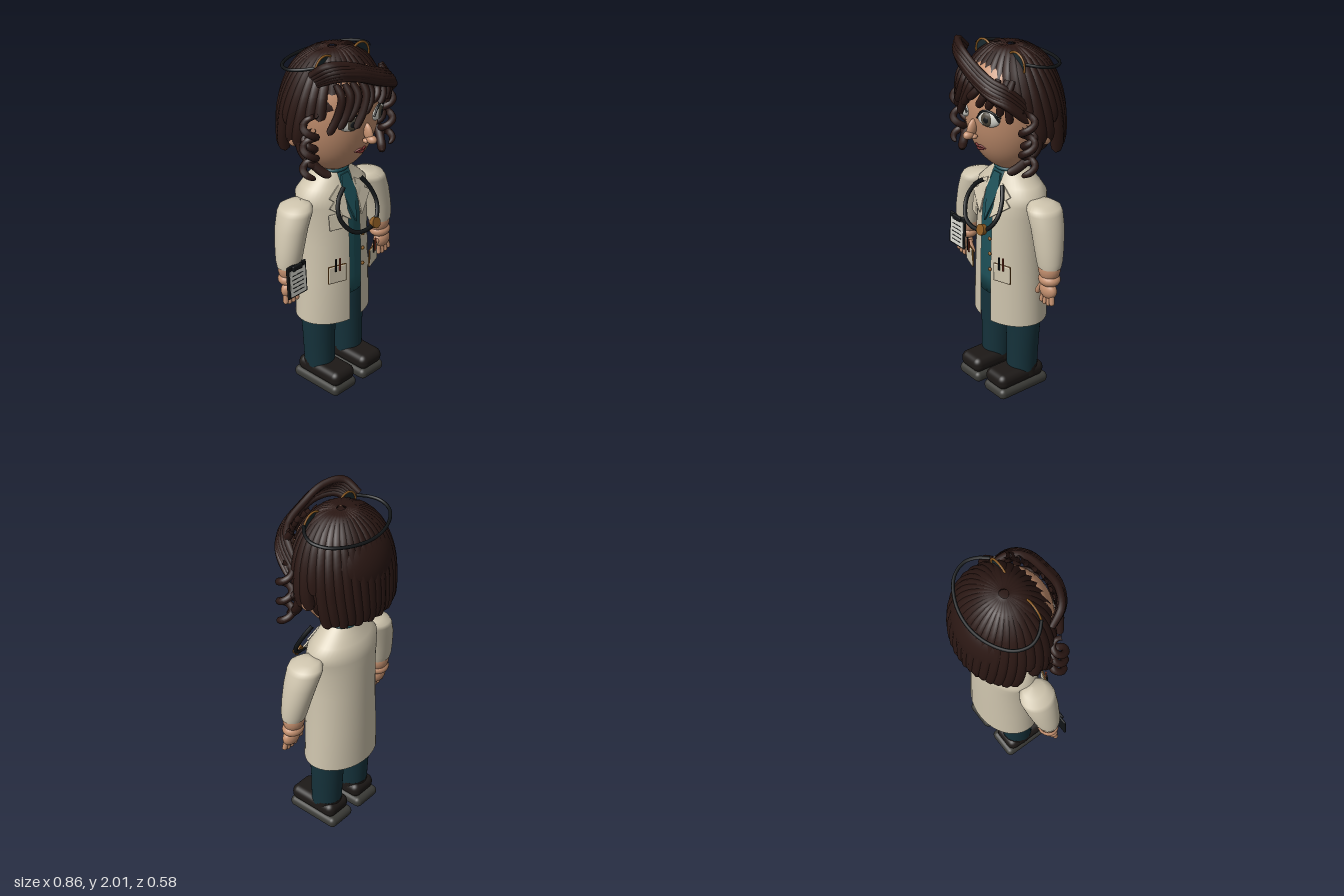
import * as THREE from 'three';
import { RoundedBoxGeometry } from 'three/addons/geometries/RoundedBoxGeometry.js';

const mat = (color, double) => new THREE.MeshStandardMaterial({ color, roughness: 0.9, side: double ? THREE.DoubleSide : THREE.FrontSide });
const M = {
  skin: mat(0xc4906f), hair: mat(0x2a1713), coat: mat(0xcfc5ae, true), shirt: mat(0x1d5058), pants: mat(0x15323b),
  shoe: mat(0x1d1917), sole: mat(0x3a3a36), black: mat(0x121517), gold: mat(0x8a5a22), white: mat(0xd8d8d0),
  iris: mat(0x4a4438), lips: mat(0x7c3030), red: mat(0x8c3a26),
};

export function createModel() {
  const root = new THREE.Group();
  const group = (name, parent = root) => { const g = new THREE.Group(); g.name = name; parent.add(g); return g; };
  const add = (name, geo, material, parent = root, pos = [0, 0, 0], rot = [0, 0, 0], scale = [1, 1, 1]) => {
    const m = new THREE.Mesh(geo, material);
    m.name = name;
    m.position.set(...pos); m.rotation.set(...rot); m.scale.set(...scale);
    parent.add(m);
    return m;
  };
  const ball = (name, material, parent, pos, scale, rot) => add(name, new THREE.SphereGeometry(1, 24, 16), material, parent, pos, rot, scale);
  const box = (name, material, parent, pos, size, rot) => add(name, new THREE.BoxGeometry(...size), material, parent, pos, rot);
  const curveOf = pts => new THREE.CatmullRomCurve3(pts.map(p => new THREE.Vector3(...p)));
  const tube = (name, pts, r, material, parent, segs = 32) => add(name, new THREE.TubeGeometry(curveOf(pts), segs, r, 8), material, parent);

  // Lock of hair: a tube with a thin root and a rounded tip
  const lock = (name, pts, r, parent, root0 = 0.5, segs = 26) => {
    const curve = curveOf(pts), geo = new THREE.TubeGeometry(curve, segs, r, 8), p = geo.attributes.position, v = new THREE.Vector3();
    for (let i = 0; i <= segs; i++) {
      const u = i / segs, c = curve.getPointAt(u);
      const tip = u > 0.88 ? Math.sqrt(Math.max(0, 1 - ((u - 0.88) / 0.12) ** 2)) : 1;
      const k = Math.min(1, root0 + u * 2.2) * tip;
      for (let j = 0; j <= 8; j++) {
        v.fromBufferAttribute(p, i * 9 + j).sub(c).multiplyScalar(k).add(c);
        p.setXYZ(i * 9 + j, v.x, v.y, v.z);
      }
    }
    return add(name, geo, M.hair, parent);
  };

  // Loft through ellipses [cx, y, cz, rx, rz] from bottom to top; gap is the half-width of a front opening
  const loft = (rings, gap = 0, n = 40) => {
    const pos = [], idx = [];
    rings.forEach(([cx, y, cz, rx, rz], j) => {
      const g = gap ? Math.asin(Math.min(0.9, gap / rx)) : 0;
      for (let i = 0; i <= n; i++) {
        const a = g + (2 * Math.PI - 2 * g) * i / n;
        pos.push(cx + rx * Math.sin(a), y, cz + rz * Math.cos(a));
        if (i < n && j < rings.length - 1) {
          const q = j * (n + 1) + i, t = q + n + 1;
          idx.push(q, q + 1, t + 1, q, t + 1, t);
        }
      }
    });
    const geo = new THREE.BufferGeometry();
    geo.setAttribute('position', new THREE.Float32BufferAttribute(pos, 3));
    geo.setIndex(idx);
    geo.computeVertexNormals();
    return geo;
  };

  // Coat with open front, and the shirt inside it
  const body = [[0, 0.44, -0.018, 0.23, 0.178], [0, 0.7, -0.018, 0.217, 0.176], [0, 0.92, -0.02, 0.208, 0.172], [0, 1.08, -0.022, 0.21, 0.165],
    [0, 1.15, -0.025, 0.225, 0.158], [0, 1.2, -0.03, 0.225, 0.147], [0, 1.24, -0.03, 0.185, 0.125], [0, 1.28, -0.025, 0.135, 0.103], [0, 1.32, -0.02, 0.09, 0.083]];
  add('coat', loft(body, 0.042), M.coat);
  add('shirt', loft([[0, 0.6, -0.018, 0.001, 0.001], [0, 0.6, -0.018, 0.2, 0.164],
    ...body.slice(1).map(([x, y, z, a, b]) => [x, y, z, a - 0.012, b - 0.01])]), M.shirt);
  add('shirtCollar', new THREE.TorusGeometry(0.078, 0.012, 10, 32), M.shirt, root, [0, 1.32, -0.02], [Math.PI / 2, 0, 0]);
  add('neck', new THREE.CylinderGeometry(0.07, 0.08, 0.14, 28), M.skin, root, [0, 1.32, -0.02]);
  const tie = new THREE.Shape([[0, 1.04], [0.046, 1.22], [0.026, 1.31], [-0.026, 1.31], [-0.046, 1.22]].map(p => new THREE.Vector2(p[0], p[1] - 1.04)));
  add('shirtFront', new THREE.ExtrudeGeometry(tie, { depth: 0.01, bevelEnabled: false }), M.shirt, root, [0, 1.04, 0.152], [-0.33, 0, 0]);

  // Lapels, pockets, pens and buttons
  for (const s of [-1, 1]) {
    const lapel = new THREE.Shape([[0.04, 0], [0.155, 0.1], [0.115, 0.125], [0.14, 0.15], [0.06, 0.2]].map(p => new THREE.Vector2(s * p[0], p[1])));
    add('lapel', new THREE.ExtrudeGeometry(lapel, { depth: 0.008, bevelEnabled: false }), M.coat, root, [0, 1.07, 0.158], [-0.38, s * 0.1, 0]);
    const pocket = group('hipPocket');
    pocket.position.set(s * 0.14, 0.775, 0.152);
    pocket.rotation.y = s * 0.35;
    add('pocketEdge', new RoundedBoxGeometry(0.108, 0.108, 0.008, 2, 0.004), M.gold, pocket);
    add('pocketPatch', new RoundedBoxGeometry(0.102, 0.102, 0.014, 2, 0.006), M.coat, pocket);
    [-0.012, 0.012].forEach((x, i) => add('pen', new THREE.CylinderGeometry(0.005, 0.005, 0.075, 10), i ? M.red : M.black, pocket, [x, 0.06, 0.01]));
  }
  add('breastPocket', new RoundedBoxGeometry(0.076, 0.09, 0.012, 2, 0.005), M.coat, root, [-0.123, 1.075, 0.125], [-0.1, -0.4, 0]);
  for (const y of [0.95, 0.86, 0.765]) ball('button', M.gold, root, [0.048, y, 0.162], [0.011, 0.011, 0.008]);

  // Stethoscope
  const steth = group('stethoscope');
  tube('stethoscopeTube', [[-0.055, 1.25, 0.115], [-0.115, 1.2, 0.135], [-0.14, 1.12, 0.17], [-0.09, 1.04, 0.215], [0, 1.018, 0.23],
    [0.09, 1.04, 0.215], [0.135, 1.11, 0.18], [0.125, 1.19, 0.14], [0.085, 1.26, 0.105]], 0.012, M.black, steth, 60);
  add('chestPiece', new THREE.CylinderGeometry(0.03, 0.03, 0.025, 24), M.gold, steth, [0.068, 1.035, 0.23], [Math.PI / 2 - 0.3, 0, 0]);

  // Legs, shoes, arms and hands, mirrored
  for (const s of [-1, 1]) {
    add('trouserLeg', loft([[s * 0.112, 0.12, -0.01, 0.084, 0.086], [s * 0.112, 0.3, -0.015, 0.09, 0.09],
      [s * 0.112, 0.46, -0.018, 0.1, 0.098], [s * 0.1, 0.75, -0.018, 0.1, 0.11]]), M.pants);
    const shoe = group('shoe');
    shoe.position.x = s * 0.112;
    add('sole', new RoundedBoxGeometry(0.18, 0.065, 0.335, 4, 0.03), M.sole, shoe, [0, 0.0325, 0.033]);
    add('shoeUpper', new RoundedBoxGeometry(0.166, 0.09, 0.31, 5, 0.04), M.shoe, shoe, [0, 0.1, 0.042]);
    add('shoeCuff', new THREE.CylinderGeometry(0.084, 0.086, 0.06, 28), M.shoe, shoe, [0, 0.12, -0.015]);

    const arm = group(s > 0 ? 'leftArm' : 'rightArm');
    add('sleeve', loft([[s * 0.353, 0.865, 0.005, 0.068, 0.06], [s * 0.35, 0.9, 0.002, 0.074, 0.068], [s * 0.338, 0.97, -0.003, 0.08, 0.078],
      [s * 0.315, 1.07, -0.012, 0.086, 0.09], [s * 0.285, 1.15, -0.017, 0.09, 0.097], [s * 0.275, 1.175, -0.018, 0.084, 0.092],
      [s * 0.255, 1.195, -0.018, 0.055, 0.06], [s * 0.24, 1.2, -0.018, 0.001, 0.001]]), M.coat, arm);
    ball('forearm', M.skin, arm, [s * 0.353, 0.85, 0.005], [0.064, 0.075, 0.056]);
    ball('wrist', M.skin, arm, [s * 0.357, 0.79, 0.007], [0.064, 0.04, 0.056]);
    ball('palm', M.skin, arm, [s * 0.362, 0.73, 0.018], [0.058, 0.05, 0.036]);
    for (let i = 0; i < 4; i++) {
      const x = 0.327 + i * 0.025, len = [0.05, 0.058, 0.054, 0.036][i];
      add('finger', new THREE.CapsuleGeometry(0.0145, len, 4, 10), M.skin, arm, [s * x, 0.685, 0.026], [-0.15, 0, s * (i - 1) * 0.08]);
    }
    add('thumb', new THREE.CapsuleGeometry(0.016, 0.05, 4, 10), M.skin, arm, [s * 0.298, 0.715, 0.025], [0, 0, s * -0.55]);
  }

  // Clipboard in the right hand
  const clip = group('clipboard');
  clip.position.set(-0.362, 0.805, 0.07);
  clip.rotation.set(-0.06, 0, 0);
  add('board', new RoundedBoxGeometry(0.14, 0.19, 0.012, 2, 0.005), M.black, clip);
  box('paper', M.white, clip, [0.002, -0.008, 0.005], [0.112, 0.152, 0.008]);
  for (let i = 0; i < 5; i++) box('ruledLine', M.black, clip, [0.002, 0.035 - i * 0.024, 0.0095], [0.08, 0.004, 0.002]);
  add('clip', new RoundedBoxGeometry(0.07, 0.03, 0.02, 2, 0.006), M.black, clip, [0, 0.078, 0.008]);

  // Head with face
  const head = group('head');
  const profile = [[0, 1.31], [0.05, 1.318], [0.1, 1.345], [0.15, 1.39], [0.195, 1.46], [0.228, 1.55], [0.246, 1.65], [0.247, 1.73], [0.225, 1.83], [0.16, 1.92], [0, 1.96]];
  const smooth = new THREE.SplineCurve(profile.map(p => new THREE.Vector2(...p))).getPoints(40).map(p => p.setX(Math.max(0, p.x)));
  add('face', new THREE.LatheGeometry(smooth, 48), M.skin, head, [0, 0, -0.01], [0, 0, 0], [1, 1, 0.96]);
  for (const s of [-1, 1]) {
    const eye = group('eye', head);
    eye.position.set(s * 0.1, 1.665, 0.202);
    eye.rotation.y = s * 0.4;
    ball('eyeWhite', M.white, eye, [0, 0, 0], [0.064, 0.045, 0.024]);
    ball('iris', M.iris, eye, [-s * 0.004, 0, 0.014], [0.034, 0.037, 0.014]);
    ball('pupil', M.black, eye, [-s * 0.004, 0, 0.023], [0.017, 0.019, 0.007]);
    tube('upperLid', [[-0.064, -0.005, 0.006], [-0.035, 0.036, 0.014], [0, 0.047, 0.016], [0.035, 0.036, 0.014], [0.064, -0.005, 0.006]], 0.006, M.black, eye);
    for (let i = 0; i < 3; i++) tube('eyelash', [[s * 0.054, 0.012 + i * 0.008, 0.01], [s * 0.07, 0.018 + i * 0.01, 0.014], [s * 0.08, 0.028 + i * 0.011, 0.014]], 0.0025, M.black, eye, 6);
    tube('eyebrow', [[s * 0.05, 1.745, 0.232], [s * 0.1, 1.765, 0.215], [s * 0.155, 1.742, 0.185]], 0.008, M.hair, head);
    ball('ear', M.skin, head, [s * 0.27, 1.57, -0.03], [0.03, 0.05, 0.036]);
    ball('nostril', M.skin, head, [s * 0.018, 1.548, 0.232], [0.014, 0.013, 0.018]);
  }
  ball('noseBridge', M.skin, head, [0, 1.59, 0.232], [0.019, 0.052, 0.03], [-0.35, 0, 0]);
  ball('noseTip', M.skin, head, [0, 1.557, 0.256], [0.024, 0.023, 0.032]);
  tube('upperLip', [[-0.042, 1.474, 0.176], [-0.014, 1.486, 0.194], [0, 1.482, 0.196], [0.014, 1.486, 0.194], [0.042, 1.474, 0.176]], 0.006, M.lips, head);
  tube('lowerLip', [[-0.034, 1.472, 0.178], [0, 1.464, 0.19], [0.034, 1.472, 0.178]], 0.006, M.lips, head);

  // Hair: strands radiating from the crown, shorter over the face and ears
  const hair = group('hair');
  const COUNT = 34;
  add('scalp', new THREE.SphereGeometry(1, 40, 20, 0, Math.PI * 2, 0, 1.75), mat(0x2a1713, true), hair, [0, 1.71, -0.03], [-0.42, 0, 0], [0.268, 0.255, 0.25]);
  add('napeHair', new THREE.SphereGeometry(1, 32, 16, Math.PI, Math.PI, 1.2, 1.1), mat(0x2a1713, true), hair, [0, 1.65, -0.03], [0, 0, 0], [0.265, 0.3, 0.235]);
  for (let i = 0; i < COUNT; i++) {
    const a = (i + 0.5) / COUNT * Math.PI * 2, d = Math.min(a, Math.PI * 2 - a);
    const end = d < 0.75 ? 1.8 : d < 1.05 ? 1.68 : d < 1.45 ? 1.52 : d < 1.75 ? 1.62 : 1.44 - 0.012 * (i % 2);
    const levels = [[1.972, 0.08], [1.955, 0.36], [1.885, 0.68], [1.8, 0.86]];
    for (const y of [1.7, 1.6, 1.52]) if (y > end + 0.03) levels.push([y, y > 1.65 ? 0.97 : 1.01]);
    levels.push([end, end > 1.75 ? 0.88 : end > 1.6 ? 0.98 : 0.97]);
    lock('strand', levels.map(([y, k], j) => {
      const t = a + 0.05 * j * Math.sin(a);
      return [0.272 * k * Math.sin(t), y, -0.02 + (d < 1.05 ? 0.225 : 0.235) * k * Math.cos(t)];
    }), 0.036, hair);
  }

  // Swept fringe across the front
  const sweep = [[-0.24, 1.905, 0.1], [-0.2, 1.955, 0.18], [-0.1, 1.945, 0.235], [0.03, 1.89, 0.25], [0.15, 1.84, 0.24], [0.22, 1.8, 0.19], [0.26, 1.7, 0.09]];
  for (let i = 0; i < 6; i++) {
    const k = i - 2.5;
    lock('fringeLock', sweep.map(([x, y, z], j) => {
      const w = j === 0 ? 0.7 : 1;
      return [x + k * 0.007 * w, y - k * 0.014 * w, z - Math.abs(k) * 0.006 + k * 0.005];
    }), 0.02, hair, 0.8, 40);
  }

  // Bangs: [root x, tip x, tip y]
  for (const [x, tx, ty] of [[-0.16, -0.215, 1.62], [-0.12, -0.175, 1.65], [-0.08, -0.14, 1.69], [-0.03, -0.1, 1.64], [0.0, -0.05, 1.71], [0.05, 0.0, 1.76],
    [0.1, 0.065, 1.73], [0.14, 0.12, 1.73], [0.18, 0.175, 1.7], [0.2, 0.215, 1.66]]) {
    const z = q => 0.255 * Math.sqrt(1 - (q / 0.28) ** 2);
    lock('bang', [[x, 1.88, z(x) - 0.05], [x + 0.005, 1.82, z(x) - 0.015], [(x + tx) / 2 + 0.012, (1.82 + ty) / 2, z((x + tx) / 2) - 0.002], [tx, ty, z(tx) - 0.004]], 0.021, hair, 0.7, 18);
  }

  // Ringlets beside the face
  for (const s of [-1, 1]) {
    const ringlet = (cx, cz, top, bottom, r, turns, lean) => lock('ringlet', Array.from({ length: turns * 8 + 1 }, (_, i) => {
      const u = i / (turns * 8), t = u * turns * Math.PI * 2 + 2;
      return [s * (cx + lean * u + r * Math.cos(t)), top + (bottom - top) * u, cz + r * Math.sin(t)];
    }), 0.02, hair, 0.6, turns * 22);
    ringlet(0.285, 0.1, 1.74, 1.39, 0.033, 3, 0.005);
    ringlet(0.265, 0.07, 1.64, 1.43, 0.025, 2, -0.02);
    lock('sideLock', [[s * 0.27, 1.62, 0.02], [s * 0.275, 1.52, 0.03], [s * 0.25, 1.45, 0.085], [s * 0.215, 1.4, 0.135], [s * 0.19, 1.385, 0.16]], 0.024, hair);
  }

  // Glasses pushed up on the head, with a band round the back
  const glasses = group('glasses');
  for (const s of [-1, 1]) {
    add('lensRim', new THREE.TorusGeometry(0.068, 0.006, 8, 40), M.gold, glasses, [s * 0.128, 1.922, 0.052]);
    add('lens', new THREE.CircleGeometry(0.066, 32), mat(0x1b2a2e, true), glasses, [s * 0.128, 1.922, 0.052]);
  }
  tube('bridge', [[-0.062, 1.94, 0.052], [0, 1.965, 0.06], [0.062, 1.94, 0.052]], 0.006, M.gold, glasses);
  tube('band', [[-0.2, 1.945, 0.05], [-0.245, 1.935, 0.0], [-0.265, 1.925, -0.06], [-0.235, 1.915, -0.14], [-0.13, 1.905, -0.21], [0, 1.9, -0.235],
    [0.13, 1.905, -0.21], [0.235, 1.915, -0.14], [0.265, 1.925, -0.06], [0.245, 1.935, 0.0], [0.2, 1.945, 0.05]], 0.009, M.black, glasses, 70);

  return root;
}
